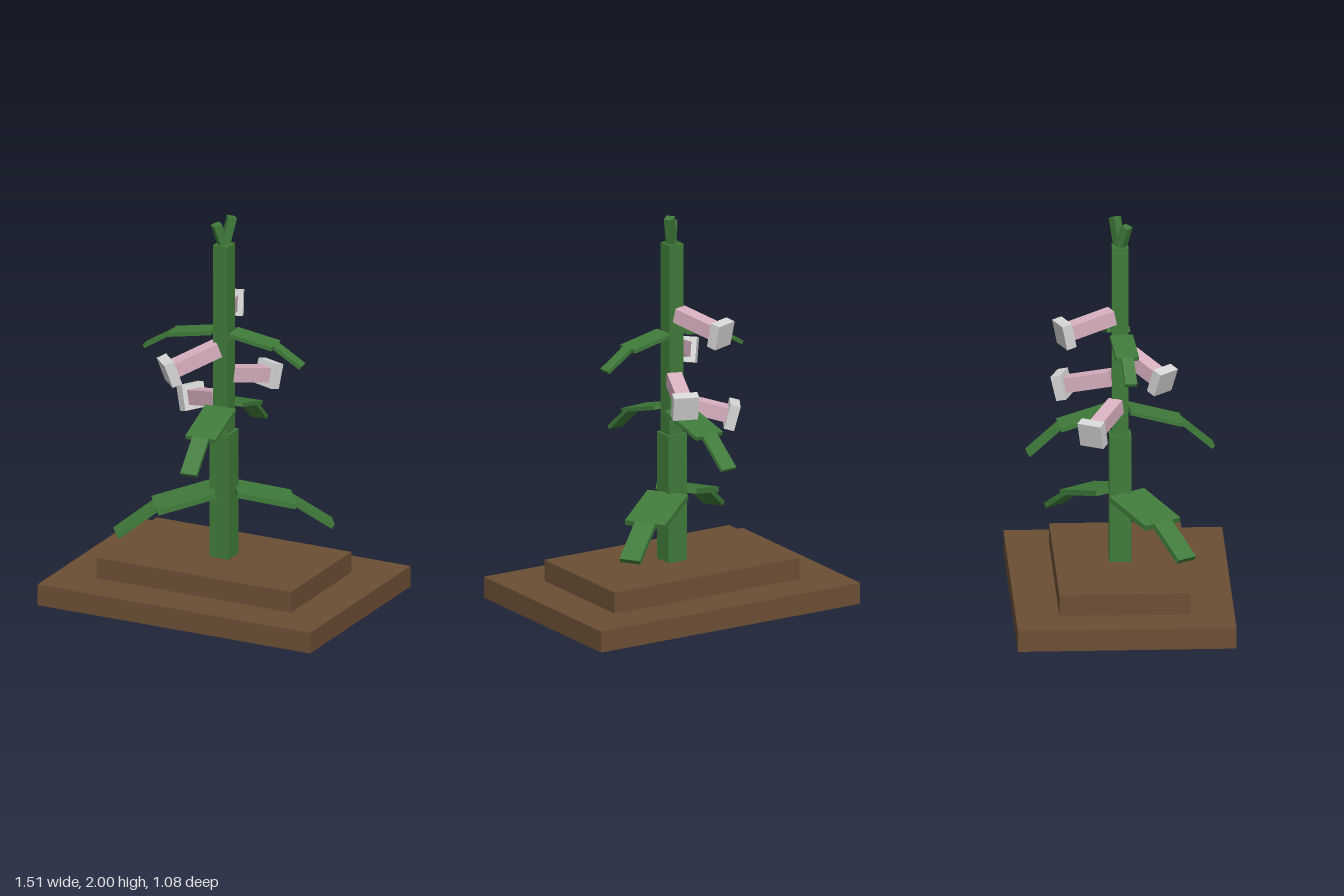
import * as THREE from 'three';

const mat = (name, color) => {
  const m = new THREE.MeshStandardMaterial({ color });
  m.name = name;
  return m;
};

export function createModel() {
  const soil = mat('soil brown', 0x6b4e35);
  const green = mat('leaf green', 0x3f7a3a);
  const pink = mat('petal pink', 0xd8b0c0);
  const pale = mat('petal rim grey', 0xd6d6d6);
  const root = new THREE.Group();
  const rad = THREE.MathUtils.degToRad;

  const box = (parent, name, w, h, d, m, x, y, z) => {
    const b = new THREE.Mesh(new THREE.BoxGeometry(w, h, d), m);
    b.name = name;
    b.position.set(x, y, z);
    parent.add(b);
    return b;
  };

  // Group whose local +x points outwards at the given heading
  const arm = (name, heading) => {
    const g = new THREE.Group();
    g.name = name;
    g.rotation.y = rad(heading);
    root.add(g);
    return g;
  };

  // Flat blade whose top face runs from a to b, each [radius, height]
  const blade = (parent, name, a, b, width, thick) => {
    const dx = b[0] - a[0], dy = b[1] - a[1], len = Math.hypot(dx, dy);
    const m = box(parent, name, len, thick, width, green,
      (a[0] + b[0]) / 2 + (dy / len) * thick / 2,
      (a[1] + b[1]) / 2 - (dx / len) * thick / 2, 0);
    m.rotation.z = Math.atan2(dy, dx);
  };

  // Stepped base
  box(root, 'baseLower', 1.514, 0.108, 1.081, soil, 0, 0.054, 0);
  box(root, 'baseUpper', 1.081, 0.108, 0.649, soil, 0, 0.162, 0);

  // Stem
  box(root, 'stemLower', 0.108, 0.655, 0.108, green, 0, 0.5435, 0);
  box(root, 'stemUpper', 0.081, 0.98, 0.081, green, 0, 1.36, 0);

  // Opposed leaf pairs, each leaf with an inner blade and a drooping tip
  const pairs = [
    { name: 'lowerLeaf', heading: 35, pts: [[0.055, 0.577], [0.348, 0.503], [0.545, 0.367]], w: [0.216, 0.108], t: 0.027 },
    { name: 'middleLeaf', heading: -85, pts: [[0.045, 1.01], [0.308, 0.935], [0.467, 0.797]], w: [0.162, 0.087], t: 0.02 },
    { name: 'upperLeaf', heading: 5, pts: [[0.05, 1.402], [0.278, 1.362], [0.423, 1.272]], w: [0.115, 0.06], t: 0.02 },
  ];
  for (const { name, heading, pts, w, t } of pairs) {
    for (const turn of [0, 180]) {
      const g = arm(name, heading + turn);
      blade(g, 'leafInner', pts[0], pts[1], w[0], t);
      blade(g, 'leafTip', pts[1], pts[2], w[1], t);
    }
  }

  // Flowers: [heading, rim radius, rim height, droop]
  const flowers = [
    [150, 0.295, 0.96, 15],
    [111, 0.3, 1.435, 12],
    [70, 0.3, 1.095, 14],
    [225, 0.283, 1.215, 20],
  ];
  for (const [heading, r, y, droop] of flowers) {
    const g = arm('flower', heading);
    const tilted = new THREE.Group();
    tilted.name = 'flowerHead';
    tilted.position.set(r, y, 0);
    tilted.rotation.z = -rad(droop);
    g.add(tilted);
    box(tilted, 'flowerTube', 0.25, 0.075, 0.075, pink, -0.14, 0, 0);
    box(tilted, 'flowerRim', 0.052, 0.127, 0.127, pale, 0, 0, 0);
  }

  // Two leaning buds at the tip: [heading, lean, length]
  for (const [heading, lean, length] of [[38, 14, 0.165], [232, 18, 0.135]]) {
    const g = arm('tipBud', heading);
    const b = box(g, 'bud', 0.043, length, 0.043, green, 0, 0, 0);
    const a = rad(lean);
    b.position.set(Math.sin(a) * length / 2, 1.83 + Math.cos(a) * length / 2, 0);
    b.rotation.z = -a;
  }
  return root;
}
